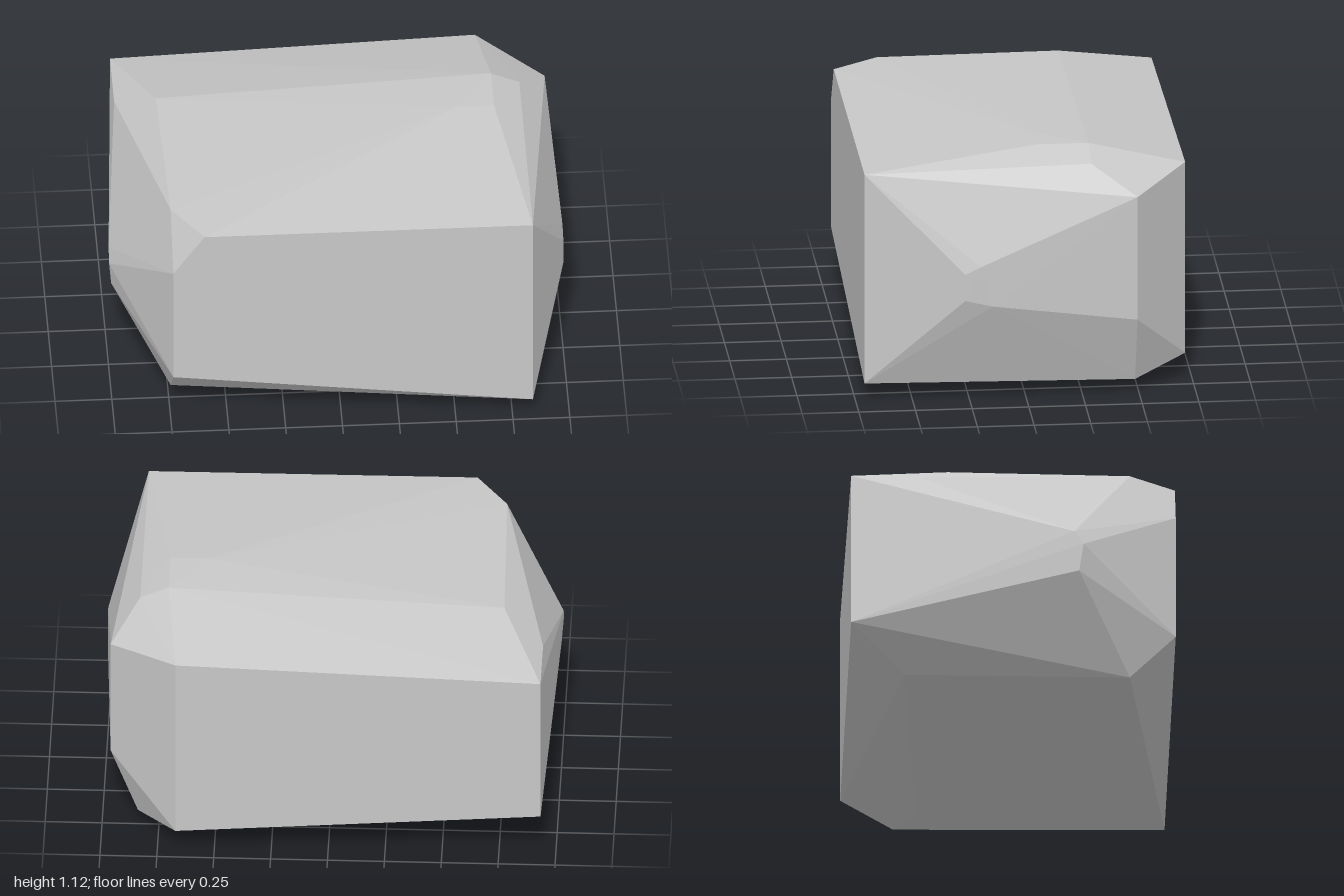
import * as THREE from 'three';
import { ConvexGeometry } from 'three/addons/geometries/ConvexGeometry.js';

// A faceted boulder: the convex skin around a few groups of corners.
export function createModel() {
  const stone = new THREE.MeshStandardMaterial({ color: 0xc7c7c7, flatShading: true });
  stone.name = 'light stone grey';

  // flat front face with a clipped upper corner
  const front = [
    [-0.742, 0.275, 0.712], [-0.742, 0.85, 0.712], [-0.605, 1.047, 0.712],
    [0.84, 1.045, 0.71], [0.84, 0.077, 0.71],
  ];
  // flat back face, lower towards the right
  const back = [
    [0.67, 1.003, -0.72], [0.67, 0.118, -0.72],
    [-0.935, 0.945, -0.72], [-0.935, 0.237, -0.72],
  ];
  // raised ridge and the slopes around it
  const top = [
    [0.55, 1.12, -0.06], [0.715, 1.12, -0.06], [0.715, 1.12, -0.29],
    [0.84, 1.065, -0.29], [-0.76, 1.05, -0.29], [-0.742, 1.05, 0.51],
  ];
  // underside, resting on its lowest corner
  const bottom = [
    [0.55, 0, -0.39], [0.843, 0.062, -0.483],
    [-0.745, 0.073, -0.48], [-0.742, 0.075, 0.51],
  ];
  // bulging left flank
  const left = [
    [0.963, 0.945, -0.483], [0.963, 0.377, -0.483],
    [1, 0.62, 0.28], [1, 0.5, 0.28], [1, 0.655, 0.21], [0.999, 0.47, 0.16],
  ];
  // bulging right flank
  const right = [
    [-0.935, 0.94, -0.42], [-1, 0.66, 0.26], [-1, 0.6, 0.3], [-0.99, 0.475, 0.28],
  ];

  const corners = [front, back, top, bottom, left, right].flat()
    .map(p => new THREE.Vector3(...p));
  const boulder = new THREE.Mesh(new ConvexGeometry(corners), stone);
  boulder.name = 'boulder';

  const group = new THREE.Group();
  group.name = 'rock';
  group.add(boulder);
  return group;
}
